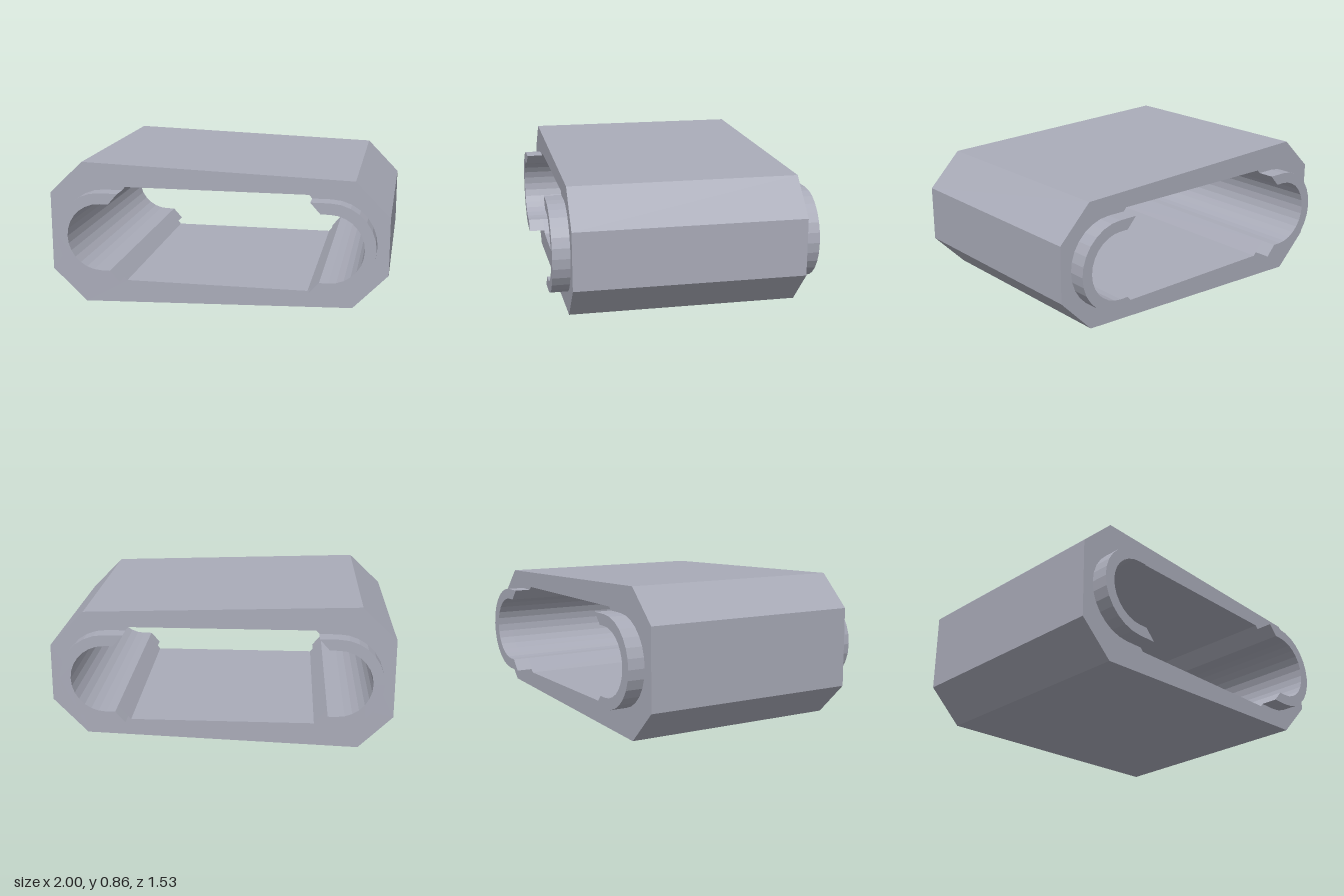
import * as THREE from 'three';

const CY = 0.43;        // height of the opening's centre line
const END_X = 0.667;    // centre of each rounded end
const INNER_R = 0.2;
const OUTER_R = 0.265;
const BODY_HALF = 0.665; // half depth of the sleeve
const LIP_DEPTH = 0.1;

// Half-circle round one end (side = 1 or -1), from bottom to top
function endArc(radius, side, steps = 14) {
  const points = [];
  for (let i = 0; i <= steps; i++) {
    const a = -Math.PI / 2 + (Math.PI * i) / steps;
    points.push(new THREE.Vector2(side * (END_X + radius * Math.cos(a)), CY + radius * Math.sin(a)));
  }
  return points;
}

// Inner edge of one end: chamfer foot, half-circle, chamfer foot
function innerEnd(side) {
  return [
    new THREE.Vector2(side * 0.615, CY - INNER_R),
    ...endArc(INNER_R, side),
    new THREE.Vector2(side * 0.615, CY + INNER_R),
  ];
}

function extrude(shape, depth, z) {
  const geometry = new THREE.ExtrudeGeometry(shape, { depth, bevelEnabled: false });
  geometry.translate(0, 0, z);
  return geometry;
}

export function createModel() {
  const model = new THREE.Group();
  model.name = 'linkSleeve';
  const grey = new THREE.MeshStandardMaterial({ color: 0xa9abb8 });
  grey.name = 'blueGrey';

  const add = (name, geometry) => {
    const mesh = new THREE.Mesh(geometry, grey);
    mesh.name = name;
    model.add(mesh);
  };

  // Slightly tapered eight-sided sleeve with a through opening
  const outline = [
    [-0.8, 0], [0.8, 0.057], [1, 0.263], [1, 0.597],
    [0.8, 0.802], [-0.8, 0.855], [-1, 0.665], [-1, 0.195],
  ].map(([x, y]) => new THREE.Vector2(x, y));
  const body = new THREE.Shape(outline);
  const v = (x, y) => new THREE.Vector2(x, y);
  body.holes.push(new THREE.Path([
    v(-0.54, 0.145), v(0.54, 0.145),
    ...innerEnd(1),
    v(0.54, 0.715), v(-0.54, 0.715),
    ...innerEnd(-1).reverse(),
  ]));
  add('sleeveBody', extrude(body, BODY_HALF * 2, -BODY_HALF));

  // C-shaped lips standing out of both open faces
  for (const side of [1, -1]) {
    const lip = new THREE.Shape([
      v(side * 0.557, CY - OUTER_R),
      ...endArc(OUTER_R, side),
      v(side * 0.557, CY + OUTER_R),
      ...innerEnd(side).reverse(),
    ]);
    const sideName = side > 0 ? 'left' : 'right';
    add(sideName + 'FrontLip', extrude(lip, LIP_DEPTH, BODY_HALF));
    add(sideName + 'BackLip', extrude(lip, LIP_DEPTH, -BODY_HALF - LIP_DEPTH));
  }
  return model;
}
